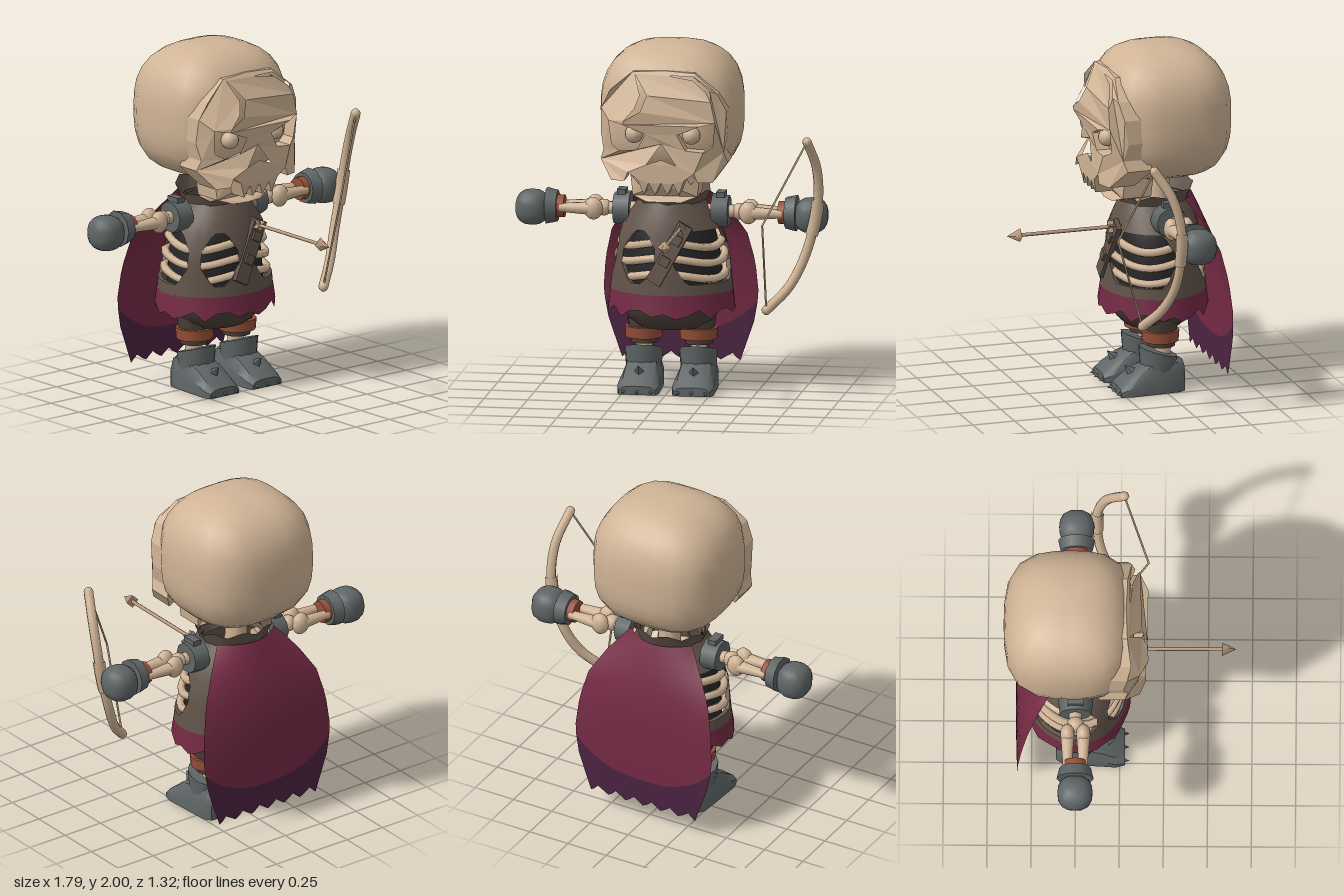
import * as THREE from 'three';
import { mergeGeometries, mergeVertices, toCreasedNormals } from 'three/addons/utils/BufferGeometryUtils.js';

const mat = (name, color, side = THREE.FrontSide) =>
  Object.assign(new THREE.MeshStandardMaterial({ color, side }), { name });
const V = (x, y, z) => new THREE.Vector3(x, y, z);
const lerp = THREE.MathUtils.lerp;

// Looks up a row of numbers in a table sorted by its first column
function table(rows, t) {
  let i = 0;
  while (i < rows.length - 2 && t > rows[i + 1][0]) i++;
  const a = rows[i], b = rows[i + 1];
  const k = THREE.MathUtils.clamp((t - a[0]) / (b[0] - a[0]), 0, 1);
  return a.map((v, j) => lerp(v, b[j], k));
}

// Surface patch from a function of u and v
function patch(nu, nv, f) {
  const pos = [], idx = [], w = nu + 1;
  for (let j = 0; j <= nv; j++) for (let i = 0; i <= nu; i++) pos.push(...f(i / nu, j / nv, i));
  for (let j = 0; j < nv; j++) for (let i = 0; i < nu; i++) {
    const a = j * w + i;
    idx.push(a, a + 1, a + w, a + 1, a + w + 1, a + w);
  }
  const g = new THREE.BufferGeometry();
  g.setAttribute('position', new THREE.Float32BufferAttribute(pos, 3));
  g.setIndex(idx);
  g.computeVertexNormals();
  return g;
}

// Move every vertex by a rule
function warp(g, rule) {
  const p = g.attributes.position, v = V(0, 0, 0);
  for (let i = 0; i < p.count; i++) {
    rule(v.fromBufferAttribute(p, i));
    p.setXYZ(i, v.x, v.y, v.z);
  }
  g.computeVertexNormals();
  return g;
}

// Boxy rounded ball; back and front depths and upper and lower squareness may differ
function blob(hx, hy, back, front, flat, top, bottom, seg) {
  let g = new THREE.SphereGeometry(1, seg, seg * 0.75);
  g.deleteAttribute('uv');
  g.deleteAttribute('normal');
  g = mergeVertices(g, 1e-4);
  return warp(g, v => {
    const n = v.y > 0 ? top : bottom;
    const h = (Math.abs(v.x) ** flat + Math.abs(v.z) ** flat) ** (1 / flat);
    v.multiplyScalar((h ** n + Math.abs(v.y) ** n) ** (-1 / n));
    v.set(v.x * hx, v.y * hy, v.z * (v.z > 0 ? front : back));
  });
}

// Torso outline: height, half width, half depth
const TORSO = [[0.5, 0.352, 0.3], [0.58, 0.35, 0.295], [0.8, 0.33, 0.28], [0.95, 0.285, 0.25],
  [1.05, 0.215, 0.215], [1.1, 0.18, 0.19]];
function torso(deg, y, s = 1) {
  const [, rx, rz] = table(TORSO, y), a = THREE.MathUtils.degToRad(deg);
  return [Math.sin(a) * rx * s, y, -0.245 + Math.cos(a) * rz * s];
}

// Cape outline: height, half width, z in the middle, z at the edges
const CAPE = [[0.1, 0.34, -0.582, -0.58], [0.36, 0.43, -0.59, -0.582], [0.5, 0.445, -0.59, -0.575],
  [0.68, 0.43, -0.585, -0.555], [0.85, 0.39, -0.56, -0.52], [1, 0.3, -0.515, -0.45], [1.12, 0.2, -0.465, -0.37]];
function cape(u, y) {
  const [, w, zc, ze] = table(CAPE, y);
  return [u * w, y, lerp(zc, ze, u * u)];
}

export function createModel() {
  const model = new THREE.Group();
  const D = THREE.DoubleSide;
  const bone = mat('bone', 0xd0b496), leather = mat('brown leather', 0x62544a, D);
  const crimson = mat('crimson cloth', 0x742a44, D), purple = mat('purple cloth', 0x4b2341, D);
  const iron = mat('grey iron', 0x5f6566), strapRed = mat('rust leather', 0x964f38);
  const dark = mat('dark hollow', 0x262627), pants = mat('dark trousers', 0x4a4038);
  const wood = mat('pale wood', 0xbf9f80);

  const add = (name, g, m, x = 0, y = 0, z = 0, parent = model) => {
    const o = new THREE.Mesh(g, m);
    o.name = name;
    o.position.set(x, y, z);
    parent.add(o);
    return o;
  };
  const rod = (name, a, b, r0, r1, m, parent = model, sides = 10) => {
    const o = add(name, new THREE.CylinderGeometry(r1, r0, a.distanceTo(b), sides), m, 0, 0, 0, parent);
    o.position.copy(a).lerp(b, 0.5);
    o.quaternion.setFromUnitVectors(V(0, 1, 0), b.clone().sub(a).normalize());
    return o;
  };
  const path = pts => pts.map(p => new THREE.Vector2(...p));
  const mirrored = half => [...half, ...half.slice().reverse().filter(p => p[0] !== 0).map(([x, y]) => [-x, y])];

  // Skull
  add('skull', blob(0.4, 0.38, 0.39, 0.35, 3.1, 2.6, 3.2, 24), bone, 0, 1.62, -0.27);

  // Face plate with sockets, nose and cracks cut through it
  const face = new THREE.Shape(path(mirrored([[0, 1.88], [0.18, 1.87], [0.31, 1.76], [0.36, 1.66], [0.365, 1.52],
    [0.345, 1.42], [0.365, 1.36], [0.29, 1.255], [0.21, 1.26], [0.19, 1.31], [0.135, 1.27], [0.1, 1.18],
    [0.07, 1.25], [0.035, 1.18], [0, 1.25]])));
  const eye = [[0.09, 1.53], [0.14, 1.44], [0.24, 1.43], [0.29, 1.46], [0.305, 1.6], [0.22, 1.585]];
  const holes = [eye, eye.map(([x, y]) => [-x, y]),
    [[0, 1.475], [0.085, 1.355], [0, 1.385], [-0.085, 1.355]],
    [[-0.165, 1.86], [-0.085, 1.75], [-0.12, 1.66], [-0.21, 1.61], [-0.15, 1.68], [-0.125, 1.75]],
    [[0.03, 1.855], [0.17, 1.855], [0.27, 1.78], [0.28, 1.72], [0.25, 1.775], [0.17, 1.835]]];
  face.holes = holes.map(h => new THREE.Path(path(h)));
  const FACE = [[1.18, 0.135], [1.25, 0.15], [1.36, 0.15], [1.48, 0.135], [1.6, 0.165], [1.7, 0.155], [1.82, 0.085], [1.88, 0.035]];
  add('facePlate', warp(new THREE.ExtrudeGeometry(face, { depth: 1, bevelEnabled: false }), v => {
    const d = Math.max(0, Math.abs(v.x) - 0.2);
    v.z = table(FACE, v.y)[1] - 4.5 * d * d - (v.z > 0.5 ? 0 : 0.15);
  }), bone);
  for (const s of [1, -1]) add('eyeball', new THREE.SphereGeometry(0.052, 12, 9), bone, s * 0.165, 1.52, 0.085);

  // Lower jaw with pointed teeth, and neck
  const jaw = new THREE.Shape(path(mirrored([[0, 1.22], [0.04, 1.255], [0.075, 1.2], [0.125, 1.26], [0.15, 1.22],
    [0.2, 1.27], [0.185, 1.15], [0.1, 1.12], [0, 1.12]])));
  add('jaw', warp(new THREE.ExtrudeGeometry(jaw, { depth: 0.17, bevelEnabled: false }), v => {
    v.z -= 0.12 + 1.5 * v.x * v.x;
  }), bone);
  rod('neck', V(0, 1, -0.28), V(0, 1.3, -0.28), 0.07, 0.06, bone);

  // Vest shell: columns of bands leaving torn openings between lo and hi
  const tears = [[10, 95], [130, 165], [-50, -10], [-150, -65]];
  const gap = deg => {
    const t = tears.find(([a, b]) => deg >= a && deg <= b);
    if (!t) return [0.72, 0.88];
    const k = Math.min(1, 0.3 + Math.min(deg - t[0], t[1] - deg) / 18);
    return [0.79 - 0.15 * k, 0.8 + 0.14 * k];
  };
  const open = (a, b) => tears.some(t => a >= t[0] && b <= t[1]);
  const bands = [];
  for (let a = -180; a < 180; a += 5) {
    const b = a + 5, A = [0.56, ...gap(a), 1.1], B = [0.56, ...gap(b), 1.1];
    for (let k = 0; k < 3; k++) {
      if (k === 1 && open(a, b)) {
        for (const e of [1, 2]) bands.push(patch(1, 1, (u, v) => torso(lerp(a, b, u), lerp(A[e], B[e], u), 1 - 0.07 * v)));
      } else {
        bands.push(patch(1, 4, (u, v) => torso(lerp(a, b, u), lerp(lerp(A[k], A[k + 1], v), lerp(B[k], B[k + 1], v), u))));
      }
    }
  }
  add('vest', toCreasedNormals(mergeGeometries(bands), 0.7), leather);
  add('chestHollow', patch(32, 8, (u, v) => torso(u * 360, lerp(0.56, 1.08, v), 0.84)), dark);
  for (const y of [0.68, 0.77, 0.86]) {
    const ring = [...Array(24)].map((_, i) => V(...torso(i * 15, y + 0.02 * Math.cos(i * Math.PI / 4), 0.91)));
    add('rib', new THREE.TubeGeometry(new THREE.CatmullRomCurve3(ring, true), 48, 0.024, 6, true), bone);
  }

  // Chest strap with two patches
  const strap = add('chestStrap', new THREE.BoxGeometry(0.09, 0.38, 0.03), leather, 0.03, 0.82, 0.028);
  strap.rotation.set(-0.13, 0, -0.5);
  for (const y of [0.09, -0.05]) add('strapPatch', new THREE.BoxGeometry(0.055, 0.055, 0.02), leather, 0, y, 0.02, strap);

  // Collar, tilted up at the back with a notched rim
  add('collar', toCreasedNormals(patch(16, 1, (u, v, i) => {
    const a = u * Math.PI * 2, r = 0.18 + 0.04 * v, z = Math.cos(a) * r;
    return [Math.sin(a) * r, 1.06 + v * (0.08 + (i % 2) * 0.025) - 0.14 * z, z - 0.255];
  }), 0.5), leather);

  // Ragged sash and hips
  const rag = [0, -0.03, -0.01, 0.02, -0.035, 0.01, 0.015, -0.02];
  add('sash', toCreasedNormals(patch(32, 1, (u, v, i) => {
    const p = torso(u * 360, 0.55, lerp(1.04, 1.0, v));
    return [p[0], v ? 0.58 : 0.475 + rag[i % 8], p[2]];
  }), 0.6), crimson);
  const hips = new THREE.LatheGeometry(path([[0, 0.35], [0.19, 0.36], [0.25, 0.41], [0.28, 0.47], [0.3, 0.56]]), 20);
  add('hips', hips, pants, 0, 0, -0.24).scale.z = 0.85;

  // Cape: crimson body with a purple ragged hem
  const hem = u => 0.27 + 0.17 * Math.abs(u) ** 3;
  add('cape', patch(24, 10, (u, v) => {
    const s = u * 2 - 1;
    return cape(s, lerp(hem(s), 1.12, v));
  }), crimson);
  add('capeHem', patch(24, 3, (u, v, i) => {
    const s = u * 2 - 1;
    return cape(s, lerp(0.1 + [0, 0.02, 0.04, 0.015][i % 4], hem(s), v));
  }), purple);

  // Legs and clawed boots
  const FOOT = [[-0.361, 0, 0], [-0.36, 0.075, 0.17], [-0.32, 0.1, 0.19], [-0.2, 0.11, 0.2], [-0.1, 0.115, 0.15],
    [-0.02, 0.12, 0.09], [0.03, 0.105, 0.05], [0.031, 0, 0]];
  const ARCH = [[1, 0], [1, 0.5], [0.75, 0.88], [0.3, 1], [-0.3, 1], [-0.75, 0.88], [-1, 0.5], [-1, 0], [1, 0]];
  for (const s of [1, -1]) {
    const leg = new THREE.Group();
    leg.name = s > 0 ? 'leftLeg' : 'rightLeg';
    leg.position.x = s * 0.157;
    model.add(leg);
    rod('trouserLeg', V(0, 0.26, -0.24), V(0, 0.43, -0.24), 0.08, 0.1, pants, leg, 12);
    rod('kneeBand', V(0, 0.29, -0.235), V(0, 0.355, -0.235), 0.105, 0.11, strapRed, leg, 14);
    rod('shin', V(0, 0.12, -0.25), V(0, 0.3, -0.25), 0.045, 0.05, bone, leg);
    add('boot', toCreasedNormals(patch(8, 7, (u, v, i) => {
      const [z, w, h] = FOOT[Math.round(v * 7)];
      return [ARCH[i][0] * w, ARCH[i][1] * h, z];
    }), 0.6), iron, 0, 0, 0, leg);
    add('bootCuff', toCreasedNormals(warp(new THREE.CylinderGeometry(0.112, 0.1, 0.13, 12), v => {
      if (v.y > 0) v.y += 0.3 * v.z;
    }), 0.6), iron, 0, 0.165, -0.22, leg);
    for (const x of [-0.075, 0, 0.075]) rod('claw', V(x, 0.032, -0.03), V(x * 1.1, 0.01, 0.055), 0.038, 0, iron, leg, 5);
    rod('bootSpike', V(0, 0.09, -0.09), V(0, 0.16, -0.02), 0.05, 0, iron, leg, 4);
  }

  // Arms held straight out
  for (const s of [1, -1]) {
    const arm = new THREE.Group();
    arm.name = s > 0 ? 'leftArm' : 'rightArm';
    arm.position.set(0, 1.025, -0.25);
    model.add(arm);
    const along = (name, x0, x1, r0, r1, m, z = 0, sides = 10) =>
      rod(name, V(s * x0, 0, z), V(s * x1, 0, z), r0, r1, m, arm, sides);
    along('upperArm', 0.15, 0.42, 0.04, 0.035, bone);
    along('shoulderGuard', 0.235, 0.33, 0.1, 0.09, iron, 0, 10);
    add('shoulderStud', new THREE.BoxGeometry(0.05, 0.03, 0.09), iron, s * 0.285, 0.1, 0, arm);
    add('elbow', new THREE.SphereGeometry(0.048, 10, 8), bone, s * 0.39, 0, 0, arm);
    for (const z of [-0.045, 0.045]) {
      add('forearmKnob', new THREE.SphereGeometry(1, 10, 8), bone, s * 0.445, 0, z, arm).scale.set(0.055, 0.065, 0.042);
      along('forearmBone', 0.44, 0.64, 0.04, 0.025, bone, z);
    }
    along('wristBand', 0.615, 0.665, 0.065, 0.068, strapRed, 0, 12);
    along('gloveCuff', 0.655, 0.72, 0.09, 0.105, iron, 0, 10);
    add('fist', blob(0.095, 0.1, 0.1, 0.1, 2.6, 2.6, 2.6, 16), iron, s * 0.802, -0.01, 0, arm);
  }

  // Bow with drawn string
  const tips = [V(0.82, 1.49, 0.02), V(0.585, 0.51, 0.015)];
  const limb = new THREE.CatmullRomCurve3([tips[0], V(0.858, 1.33, -0.075), V(0.862, 1.16, -0.125),
    V(0.84, 1, -0.135), V(0.78, 0.79, -0.12), V(0.7, 0.63, -0.065), tips[1]]);
  add('bowLimb', new THREE.TubeGeometry(limb, 28, 0.028, 8), bone);
  const grip = new THREE.CatmullRomCurve3([0.36, 0.42, 0.48, 0.54].map(t => limb.getPointAt(t)));
  add('bowGrip', new THREE.TubeGeometry(grip, 8, 0.036, 8), bone);
  for (const t of tips) {
    add('bowTip', new THREE.SphereGeometry(0.028, 8, 6), bone, t.x, t.y, t.z);
    rod('bowString', t, V(0.585, 1.025, 0.16), 0.006, 0.006, wood, model, 5);
  }

  // Arrow
  rod('arrowShaft', V(0.09, 0.965, -0.06), V(0.09, 0.965, 0.59), 0.011, 0.011, wood, model, 6);
  rod('arrowHead', V(0.09, 0.965, 0.58), V(0.09, 0.965, 0.66), 0.04, 0, wood, model, 4);
  for (const a of [0, Math.PI / 2]) {
    add('arrowFletching', new THREE.BoxGeometry(0.07, 0.008, 0.07), wood, 0.09, 0.965, 0.02).rotation.z = a + 0.4;
  }
  return model;
}
